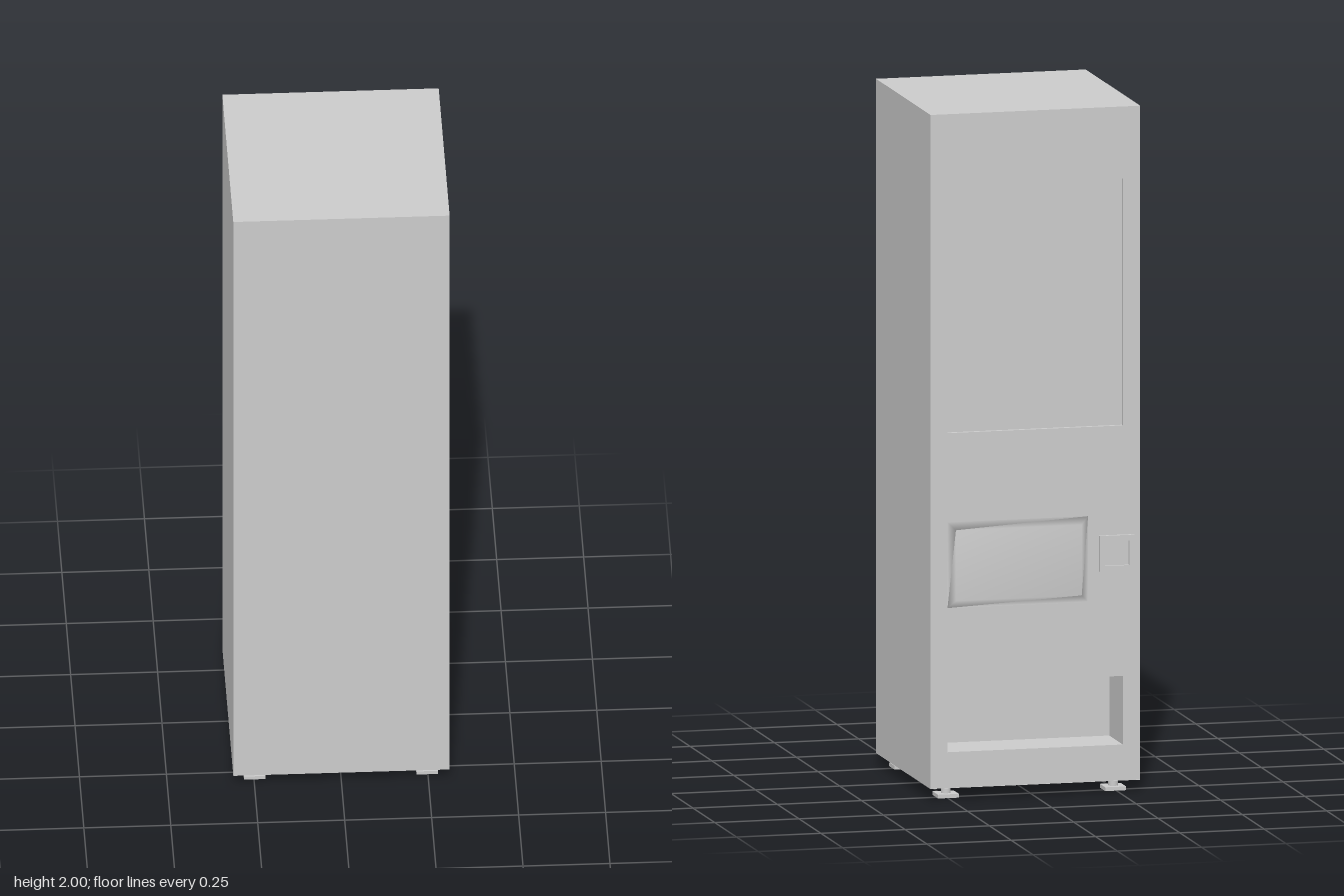
import * as THREE from 'three';
import { mergeVertices } from 'three/addons/utils/BufferGeometryUtils.js';

const FACE = -0.307; // z of the service face
const SHEET = 0.012; // thickness of the service panel

export function createModel() {
  const model = new THREE.Group();
  const grey = new THREE.MeshStandardMaterial({ color: 0xcccccc });
  const greyDouble = new THREE.MeshStandardMaterial({ color: 0xcccccc, side: THREE.DoubleSide });

  const add = (name, geometry, material = grey, parent = model) => {
    const mesh = new THREE.Mesh(geometry, material);
    mesh.name = name;
    parent.add(mesh);
    return mesh;
  };

  // Box given by its limits on each axis
  const box = (x0, x1, y0, y1, z0, z1) =>
    new THREE.BoxGeometry(x1 - x0, y1 - y0, z1 - z0)
      .translate((x0 + x1) / 2, (y0 + y1) / 2, (z0 + z1) / 2);

  // Same box with its -z side left open
  const openBox = (...limits) => {
    const g = box(...limits);
    g.setIndex(Array.from(g.index.array).slice(0, 30));
    g.clearGroups();
    return g;
  };

  const rect = (Type, x0, x1, y0, y1) =>
    new Type([[x0, y0], [x1, y0], [x1, y1], [x0, y1]].map(p => new THREE.Vector2(...p)));

  // Rectangular sheet with rectangular cut-outs, from z to z + depth
  const sheet = (outline, holes, z, depth) => {
    const shape = rect(THREE.Shape, ...outline);
    holes.forEach(h => shape.holes.push(rect(THREE.Path, ...h)));
    return new THREE.ExtrudeGeometry(shape, { depth, bevelEnabled: false }).translate(0, 0, z);
  };

  // Cabinet and service panel with window and tray openings
  const windowOpening = [-0.26, 0.26, 1.07, 1.79];
  const trayOpening = [-0.26, 0.26, 0.14, 0.34];
  add('cabinet', openBox(-0.311, 0.311, 0.035, 2, FACE, 0.316), greyDouble);
  add('servicePanel',
    sheet([-0.3105, 0.3105, 0.0355, 1.9995], [windowOpening, trayOpening], FACE, SHEET));
  add('windowPane', box(-0.27, 0.27, 1.06, 1.8, FACE + SHEET, FACE + SHEET + 0.01));

  // Pick-up tray, taller inside than its opening
  add('pickupTray', openBox(-0.26, 0.26, 0.14, 0.39, FACE + SHEET, FACE + 0.155), greyDouble);

  // Touch screen: a plate tapering towards its outer face, softly shaded
  const plate = new THREE.BoxGeometry(0.417, 0.25, 0.012);
  plate.deleteAttribute('normal');
  plate.deleteAttribute('uv');
  const pos = plate.attributes.position;
  for (let i = 0; i < pos.count; i++) {
    if (pos.getZ(i) < 0) {
      pos.setX(i, pos.getX(i) - Math.sign(pos.getX(i)) * 0.022);
      pos.setY(i, pos.getY(i) - Math.sign(pos.getY(i)) * 0.022);
    }
  }
  const screen = mergeVertices(plate);
  screen.computeVertexNormals();
  add('touchScreen', screen).position.set(0.0515, 0.685, FACE - 0.006);

  // Card reader: raised frame around a sunken pad
  const reader = new THREE.Group();
  reader.name = 'cardReader';
  model.add(reader);
  add('readerFrame',
    sheet([-0.293, -0.189, 0.648, 0.752], [[-0.277, -0.205, 0.664, 0.736]], FACE - 0.01, 0.01),
    grey, reader);
  add('readerPad', box(-0.277, -0.205, 0.664, 0.736, FACE - 0.002, FACE + 0.002), grey, reader);

  // Levelling feet: square plate on a round stem
  for (const x of [-0.248, 0.248]) {
    for (const z of [-0.241, 0.257]) {
      const foot = new THREE.Group();
      foot.name = 'foot';
      foot.position.set(x, 0, z);
      model.add(foot);
      add('footPlate', box(-0.031, 0.031, 0, 0.011, -0.031, 0.031), grey, foot);
      add('footStem', new THREE.CylinderGeometry(0.014, 0.014, 0.026, 16).translate(0, 0.023, 0), grey, foot);
    }
  }

  return model;
}
